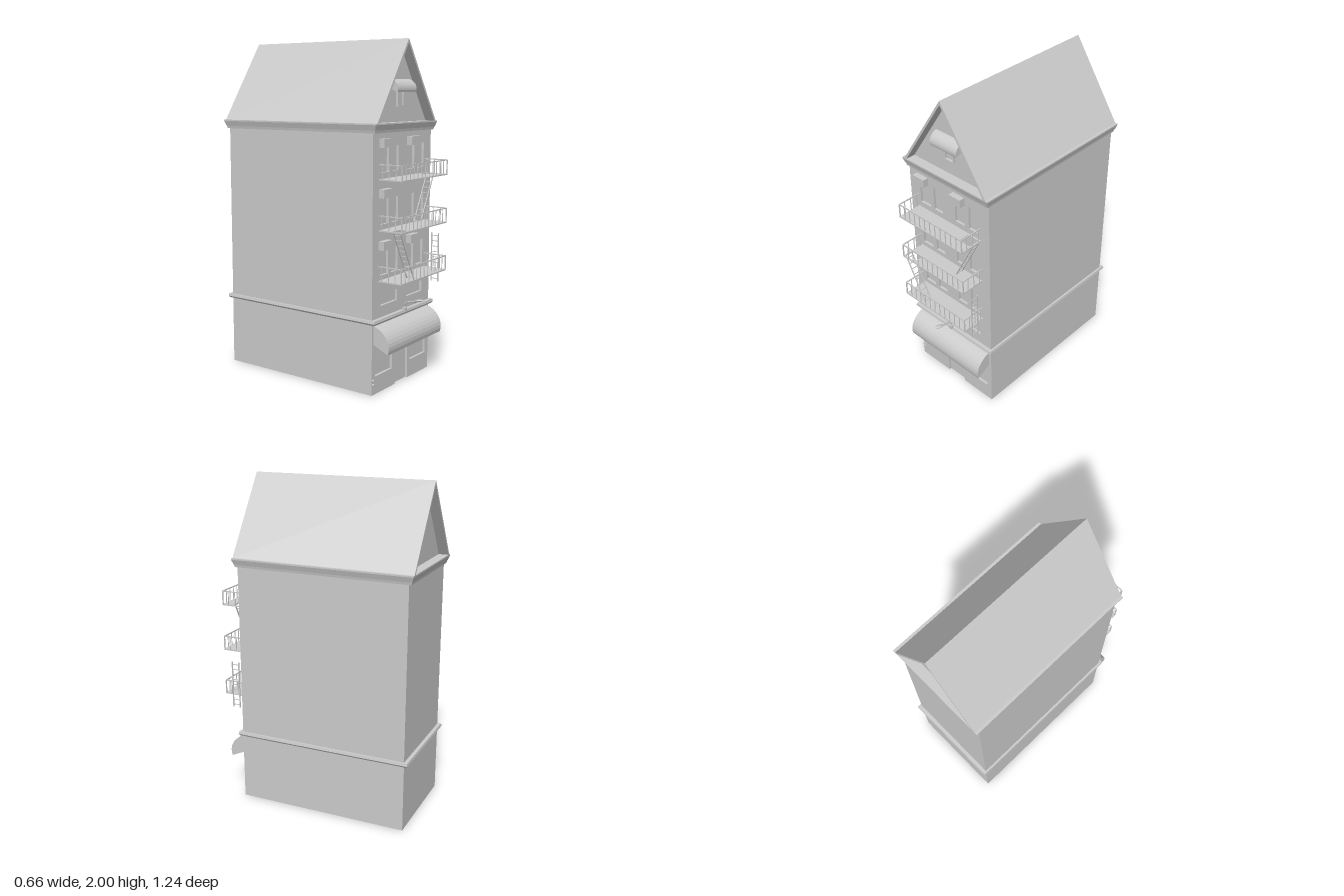
import * as THREE from 'three';

const mat = new THREE.MeshStandardMaterial({ color: 0xcccccc, side: THREE.DoubleSide });
const ZC = -0.06; // middle of the building in z

function add(parent, name, geo, x = 0, y = 0, z = 0) {
  const m = new THREE.Mesh(geo, mat);
  m.name = name;
  m.position.set(x, y, z);
  parent.add(m);
  return m;
}

// Box given by its limits
function box(parent, name, x0, x1, y0, y1, z0, z1) {
  return add(parent, name, new THREE.BoxGeometry(x1 - x0, y1 - y0, z1 - z0),
    (x0 + x1) / 2, (y0 + y1) / 2, (z0 + z1) / 2);
}

// Thin square bar between two points
function bar(parent, name, a, b, t = 0.005) {
  const p = new THREE.Vector3(...a), q = new THREE.Vector3(...b);
  const m = add(parent, name, new THREE.BoxGeometry(t, t, p.distanceTo(q)));
  m.position.copy(p).lerp(q, 0.5);
  m.lookAt(q);
  return m;
}

const poly = pts => new THREE.Shape(pts.map(p => new THREE.Vector2(...p)));
const rect = (x0, x1, y0, y1) => poly([[x0, y0], [x1, y0], [x1, y1], [x0, y1]]);
const extrude = (shape, depth) =>
  new THREE.ExtrudeGeometry(shape, { depth, bevelEnabled: false, curveSegments: 10 });

// Moulding ring: stacked tiers of [y0, y1, half x bottom, half x top], overhang equal in z
function moulding(parent, name, tiers) {
  const g = new THREE.Group();
  g.name = name;
  for (const [y0, y1, b, t] of tiers) {
    const geo = new THREE.BoxGeometry(2, y1 - y0, 2), p = geo.attributes.position;
    for (let i = 0; i < p.count; i++) {
      const h = p.getY(i) > 0 ? t : b;
      p.setX(i, p.getX(i) * h);
      p.setZ(i, p.getZ(i) * (h + 0.23));
    }
    geo.computeVertexNormals();
    add(g, name + 'Tier', geo, 0, (y0 + y1) / 2, ZC);
  }
  parent.add(g);
}

// Rounded awning, profile in (z, y), running along x
function awning(parent, name, w, z, yTop, d, h) {
  const s = new THREE.Shape();
  s.moveTo(0, 0);
  s.bezierCurveTo(d * 0.55, -h * 0.05, d * 1.15, -h * 0.5, d * 0.9, -h);
  s.lineTo(0, -h * 0.7);
  const geo = extrude(s, w);
  geo.rotateY(-Math.PI / 2);
  add(parent, name, geo, w / 2, yTop, z);
}

// Ladder with two rails from a to b, spread along z by w
function ladder(parent, name, a, b, w, n) {
  const g = new THREE.Group();
  g.name = name;
  const side = (p, s) => [p[0], p[1], p[2] + s * w / 2];
  for (const s of [-1, 1]) bar(g, 'ladderRail', side(a, s), side(b, s), 0.006);
  for (let i = 0; i < n; i++) {
    const p = a.map((v, k) => v + (b[k] - v) * (i + 0.5) / n);
    bar(g, 'rung', side(p, -1), side(p, 1), 0.004);
  }
  parent.add(g);
}

// Fire escape landing with a stair opening and railing
function balcony(parent, y, hole) {
  const g = new THREE.Group();
  g.name = 'balcony';
  const X = 0.25, Z0 = 0.47, Z1 = 0.622, H = 0.085;
  const s = rect(-X, X, Z0, Z1);
  if (hole) s.holes.push(rect(...hole));
  const geo = extrude(s, 0.007);
  geo.rotateX(Math.PI / 2);
  add(g, 'landing', geo, 0, y + 0.004, 0);
  const top = y + H, e = X - 0.003, f = Z1 - 0.003;
  bar(g, 'frontRail', [-e, top, f], [e, top, f], 0.006);
  for (const sx of [-1, 1]) {
    bar(g, 'sideRail', [sx * e, top, Z0], [sx * e, top, f], 0.006);
    for (const z of [0.49, 0.535, 0.58]) bar(g, 'baluster', [sx * e, y, z], [sx * e, top, z], 0.004);
  }
  for (let i = 0; i <= 12; i++) {
    const x = -e + (2 * e * i) / 12;
    bar(g, 'baluster', [x, y, f], [x, top, f], i % 12 ? 0.004 : 0.006);
  }
  parent.add(g);
}

export function createModel() {
  const model = new THREE.Group();
  model.name = 'townhouse';

  // Main block and front wall with recessed openings
  box(model, 'mainBlock', -0.31, 0.31, 0, 1.49, -0.59, 0.455);
  const wall = poly([[-0.31, 0], [-0.07, 0], [-0.07, 0.3], [0.07, 0.3], [0.07, 0],
    [0.31, 0], [0.31, 1.49], [-0.31, 1.49]]);
  for (const y of [0.68, 0.97, 1.26])
    for (const [a, b] of [[-0.23, -0.15], [-0.12, -0.05], [0.05, 0.122], [0.155, 0.23]])
      wall.holes.push(rect(a, b, y, y + 0.145));
  for (const s of [-1, 1]) {
    wall.holes.push(rect(s < 0 ? -0.225 : 0.05, s < 0 ? -0.05 : 0.225, 0.505, 0.57));
    wall.holes.push(rect(s < 0 ? -0.275 : 0.1, s < 0 ? -0.1 : 0.275, 0.105, 0.29));
  }
  add(model, 'frontWall', extrude(wall, 0.015), 0, 0, 0.455);

  // Mouldings
  moulding(model, 'ledge', [[0.412, 0.422, 0.318, 0.325], [0.422, 0.438, 0.325, 0.322]]);
  moulding(model, 'cornice', [[1.48, 1.495, 0.315, 0.318], [1.495, 1.525, 0.32, 0.33], [1.525, 1.533, 0.33, 0.33]]);

  // Roof shell with set-back gables
  const roof = poly([[-0.315, 1.53], [0, 2], [0.315, 1.53], [0.298, 1.53], [0, 1.976], [-0.298, 1.53]]);
  add(model, 'roof', extrude(roof, 1.12), 0, 0, -0.62);
  add(model, 'gable', extrude(poly([[-0.3, 1.53], [0.3, 1.53], [0, 1.98]]), 1.0), 0, 0, -0.56);

  // Gable opening: framed hatch under a small awning
  for (const s of [-1, 1]) box(model, 'hatchFrame', s * 0.031 - 0.004, s * 0.031 + 0.004, 1.62, 1.7, 0.44, 0.452);
  box(model, 'hatchSill', -0.035, 0.035, 1.62, 1.628, 0.44, 0.455);
  awning(model, 'gableAwning', 0.2, 0.44, 1.775, 0.056, 0.075);

  // Shop awning
  awning(model, 'shopAwning', 0.585, 0.468, 0.4, 0.108, 0.15);

  // Window boxes
  for (const [x, y] of [[-0.205, 1.4], [0.083, 1.4], [-0.205, 1.12], [-0.205, 0.828], [0.083, 0.828]])
    box(model, 'windowUnit', x - 0.044, x + 0.044, y, y + 0.05, 0.46, 0.505);

  // Fire escape
  balcony(model, 0.65, null);
  balcony(model, 0.937, [-0.24, -0.16, 0.556, 0.612]);
  balcony(model, 1.222, [0.16, 0.24, 0.482, 0.55]);
  ladder(model, 'upperStair', [0.1, 0.937, 0.508], [0.245, 1.222, 0.508], 0.045, 9);
  ladder(model, 'lowerStair', [-0.092, 0.65, 0.585], [-0.24, 0.937, 0.585], 0.045, 9);
  ladder(model, 'dropLadder', [0.254, 0.57, 0.543], [0.254, 0.865, 0.543], 0.046, 9);

  // Lamp over the shop
  const arm = new THREE.CatmullRomCurve3([[0.496, 0.43], [0.494, 0.47], [0.515, 0.488], [0.56, 0.498], [0.6, 0.506]]
    .map(([z, y]) => new THREE.Vector3(-0.005, y, z)));
  add(model, 'lampArm', new THREE.TubeGeometry(arm, 16, 0.005, 6), 0, 0, 0);
  box(model, 'lampBase', -0.016, 0.006, 0.43, 0.455, 0.485, 0.505);
  const head = add(model, 'lampHead', new THREE.SphereGeometry(0.02, 12, 8), -0.005, 0.508, 0.592);
  head.scale.set(0.8, 0.35, 1.5);
  head.rotation.x = -0.2;

  // Wall hydrant pipes
  for (const y of [0.06, 0.085]) {
    const p = add(model, 'wallPipe', new THREE.CylinderGeometry(0.008, 0.008, 0.012, 10), -0.298, y, 0.474);
    p.rotation.x = Math.PI / 2;
  }
  return model;
}
